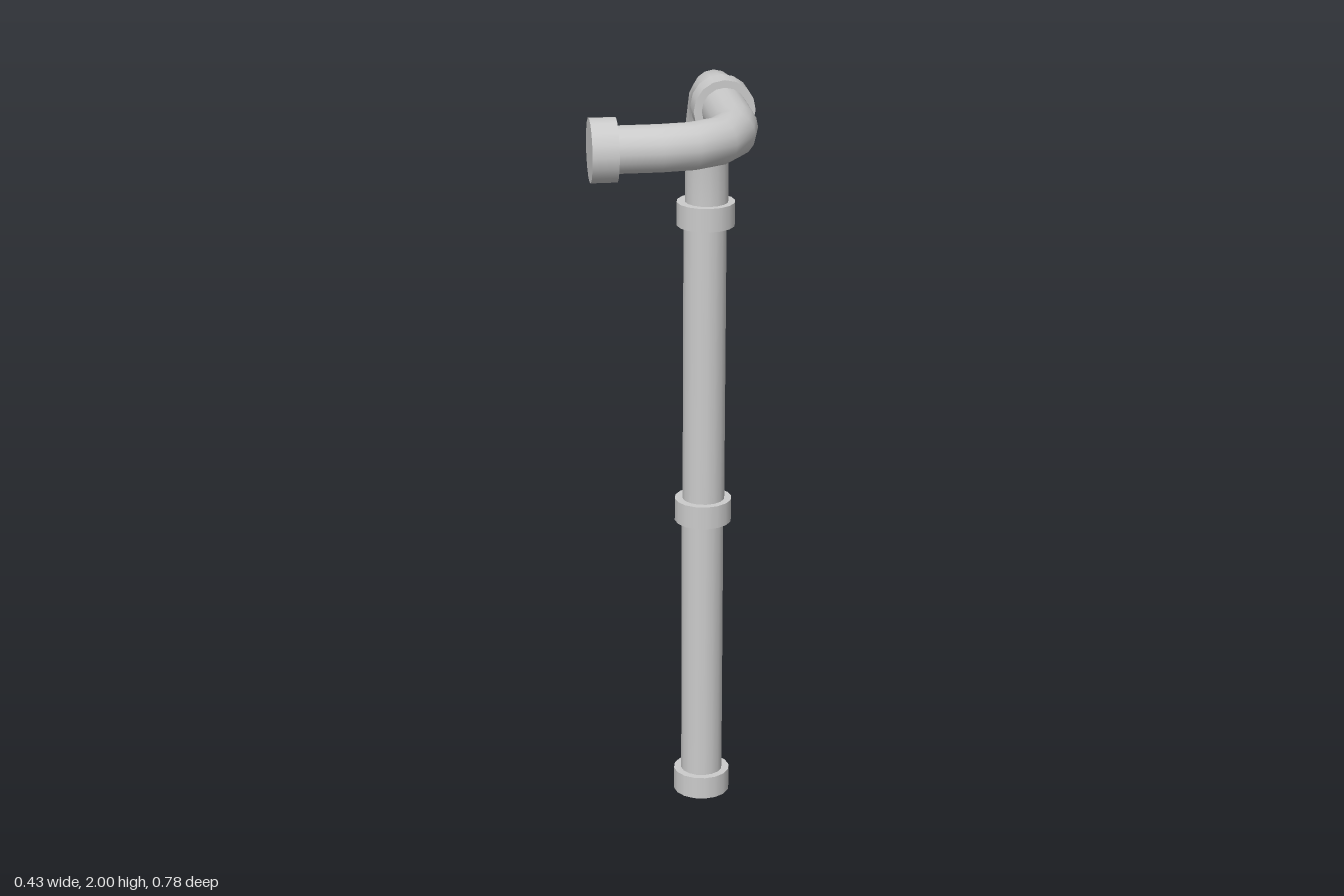
import * as THREE from 'three';

const SIDES = 16, PIPE_R = 0.054, COLLAR_R = 0.073, COLLAR_H = 0.06;
const V = (x, y, z) => new THREE.Vector3(x, y, z);
const UP = V(0, 1, 0);

// Sweeps a round, mitred section along a path lying in the plane perpendicular to b.
function sweep(path, b, radius) {
  const pos = [], nor = [], idx = [];
  path.forEach((p, i) => {
    const a = path[Math.max(i - 1, 0)], c = path[Math.min(i + 1, path.length - 1)];
    const d0 = (i ? p.clone().sub(a) : c.clone().sub(p)).normalize();
    const d1 = (i < path.length - 1 ? c.clone().sub(p) : d0.clone()).normalize();
    const t = d0.clone().add(d1).normalize();
    const n = b.clone().cross(t);
    const miter = 1 / t.dot(d0);
    for (let j = 0; j <= SIDES; j++) {
      const th = j / SIDES * Math.PI * 2, cs = Math.cos(th), sn = Math.sin(th);
      const q = p.clone().addScaledVector(n, cs * radius * miter).addScaledVector(b, sn * radius);
      const m = n.clone().multiplyScalar(cs).addScaledVector(b, sn);
      pos.push(q.x, q.y, q.z);
      nor.push(m.x, m.y, m.z);
      if (i && j < SIDES) {
        const w = SIDES + 1, k = (i - 1) * w + j;
        idx.push(k, k + 1, k + w, k + 1, k + w + 1, k + w);
      }
    }
  });
  const g = new THREE.BufferGeometry();
  g.setAttribute('position', new THREE.Float32BufferAttribute(pos, 3));
  g.setAttribute('normal', new THREE.Float32BufferAttribute(nor, 3));
  g.setIndex(idx);
  return g;
}

export function createModel() {
  const group = new THREE.Group();
  const mat = new THREE.MeshStandardMaterial({ color: 0xcccccc, side: THREE.DoubleSide });
  const add = (name, geo) => {
    const mesh = new THREE.Mesh(geo, mat);
    mesh.name = name;
    group.add(mesh);
    return mesh;
  };
  // Straight cylinder between two points
  const rod = (name, r, from, to) => {
    const d = to.clone().sub(from);
    const mesh = add(name, new THREE.CylinderGeometry(r, r, d.length(), SIDES));
    mesh.position.copy(from).addScaledVector(d, 0.5);
    mesh.quaternion.setFromUnitVectors(UP, d.normalize());
  };
  const collar = (name, start, dir) =>
    rod(name, COLLAR_R, start, start.clone().addScaledVector(dir, COLLAR_H));
  // Bend as [along, across] offsets, ending in a straight stub
  const elbow = (name, start, along, across, end) => {
    const bend = [[-0.02, 0], [0.15, 0], [0.212, 0.014], [0.268, 0.053], [0.303, 0.119], [0.312, 0.191], [0.312, end]];
    const path = bend.map(([u, v]) => start.clone().addScaledVector(along, u).addScaledVector(across, v));
    add(name, sweep(path, along.clone().cross(across), PIPE_R));
  };

  const left = V(-1, 0, 0), front = V(0, 0, 1);

  // Upright pipes
  rod('lowerPipe', PIPE_R, V(0.132, 0.03, -0.318), V(0.132, 0.8, -0.318));
  rod('upperPipe', PIPE_R, V(0.134, 0.8, -0.318), V(0.135, 1.59, -0.319));

  // Elbow from upright to horizontal, then elbow turning sideways
  elbow('upperElbow', V(0.139, 1.616, -0.32), UP, front, 0.29);
  elbow('sideElbow', V(0.134, 1.928, 0.005), front, left, 0.31);

  // Joint collars and the closed ends
  collar('baseCollar', V(0.132, 0, -0.318), UP);
  collar('middleCollar', V(0.133, 0.77, -0.318), UP);
  collar('upperCollar', V(0.137, 1.556, -0.321), UP);
  collar('elbowCollar', V(0.134, 1.927, -0.055), front);
  collar('endCollar', V(-0.155, 1.928, 0.317), left);
  return group;
}
